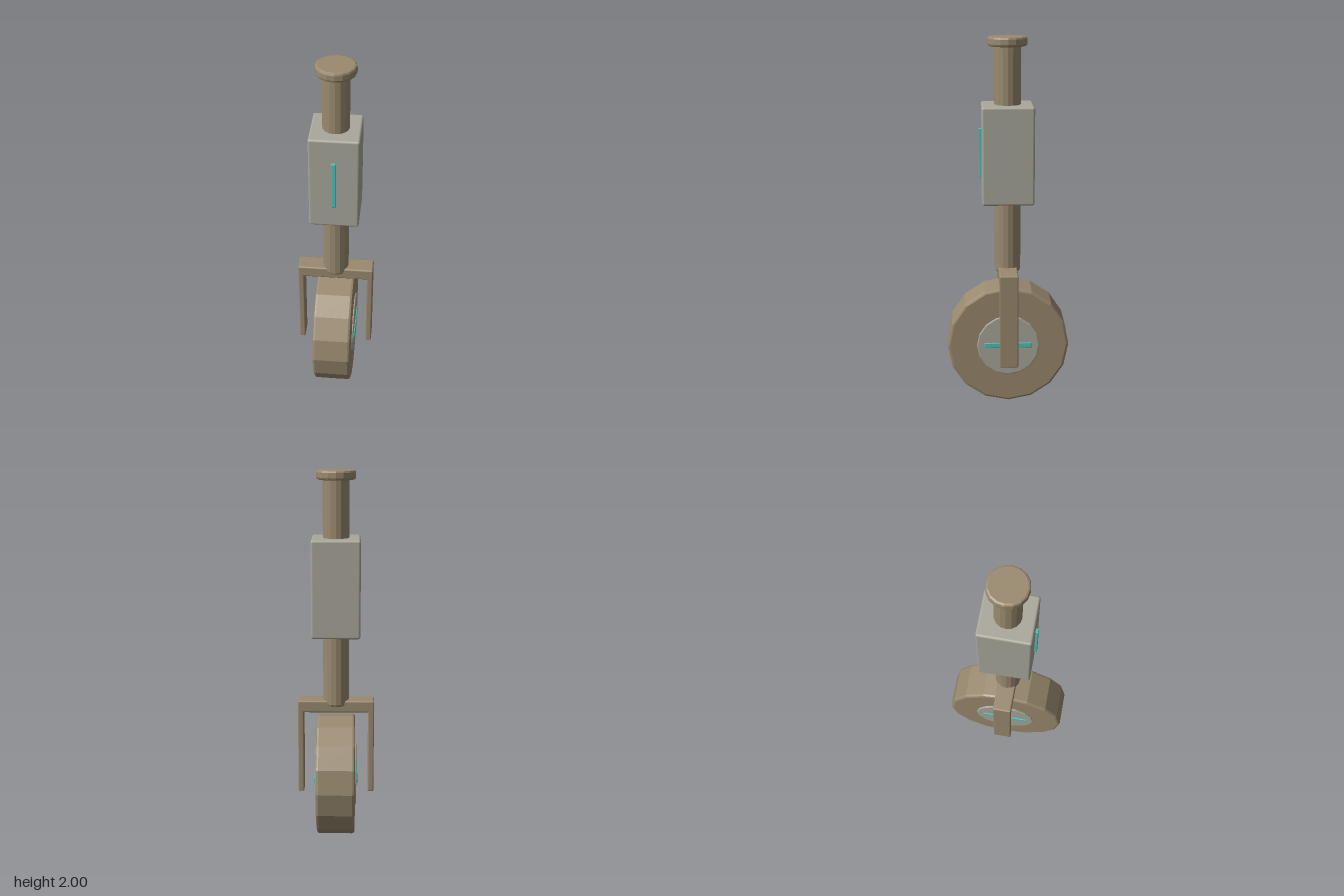
import * as THREE from 'three';
import { RoundedBoxGeometry } from 'three/addons/geometries/RoundedBoxGeometry.js';

const SIDES = 16;

export function createModel() {
  const model = new THREE.Group();
  model.name = 'wheeledStrut';

  const tan = new THREE.MeshStandardMaterial({ color: 0x9a8a6f });
  tan.name = 'tan';
  const grey = new THREE.MeshStandardMaterial({ color: 0xaaa89b });
  grey.name = 'warm grey';
  const teal = new THREE.MeshStandardMaterial({ color: 0x4cc3ba });
  teal.name = 'teal';

  function add(parent, name, geometry, material, x, y, z) {
    const mesh = new THREE.Mesh(geometry, material);
    mesh.name = name;
    mesh.position.set(x, y, z);
    parent.add(mesh);
    return mesh;
  }

  // Faceted cylinder with chamfered rims, centred on its y axis
  function drum(radius, height, bevel) {
    const h = height / 2;
    const profile = [
      [0, -h], [radius - bevel, -h], [radius - bevel * 0.3, -h + bevel * 0.3], [radius, -h + bevel],
      [radius, h - bevel], [radius - bevel * 0.3, h - bevel * 0.3], [radius - bevel, h], [0, h],
    ].map(([r, y]) => new THREE.Vector2(r, y));
    const geometry = new THREE.LatheGeometry(profile, SIDES).toNonIndexed();
    geometry.computeVertexNormals();
    return geometry;
  }

  const box = (w, h, d, bevel) => new RoundedBoxGeometry(w, h, d, 2, bevel);

  // Upright strut and top cap
  add(model, 'shaft', drum(0.07, 1.245, 0.014), tan, 0, 1.3575, 0);
  add(model, 'topCap', drum(0.104, 0.05, 0.012), tan, 0, 1.975, 0);

  // Housing with a light strip on its front
  add(model, 'housing', box(0.26, 0.52, 0.276, 0.012), grey, 0, 1.39, 0);
  add(model, 'housingStrip', box(0.024, 0.264, 0.03, 0.003), teal, 0, 1.39, 0.137);

  // Fork
  const fork = new THREE.Group();
  fork.name = 'fork';
  model.add(fork);
  add(fork, 'forkBridge', box(0.416, 0.066, 0.102, 0.009), tan, 0, 0.734, 0);
  for (const side of [-1, 1]) {
    add(fork, side > 0 ? 'leftForkLeg' : 'rightForkLeg',
      box(0.032, 0.522, 0.102, 0.007), tan, side * 0.192, 0.505, 0);
  }

  // Wheel, hub and hub strips
  const wheel = new THREE.Group();
  wheel.name = 'wheel';
  wheel.position.y = 0.334;
  model.add(wheel);
  add(wheel, 'tyre', drum(0.333, 0.208, 0.014), tan, 0, 0, 0).rotation.z = Math.PI / 2;
  add(wheel, 'hub', drum(0.172, 0.224, 0.006), grey, 0, 0, 0).rotation.z = Math.PI / 2;
  for (const side of [-1, 1]) {
    add(wheel, side > 0 ? 'leftHubStrip' : 'rightHubStrip',
      box(0.012, 0.028, 0.26, 0.003), teal, side * 0.112, 0.003, 0);
  }

  return model;
}
